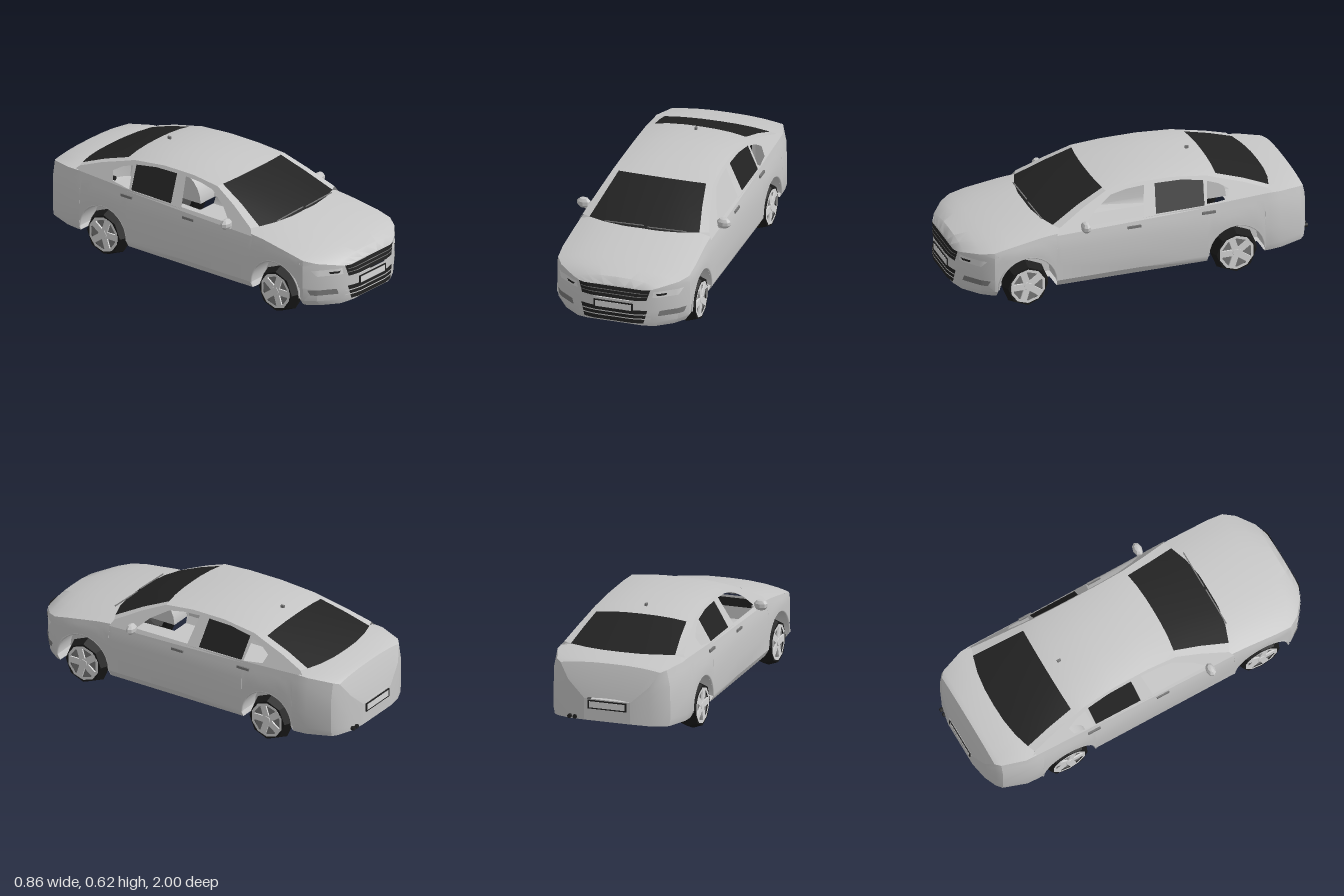
import * as THREE from 'three';
import { toCreasedNormals } from 'three/addons/utils/BufferGeometryUtils.js';

const paint = (name, color) => new THREE.MeshStandardMaterial({ name, color, side: THREE.DoubleSide });
const MAT = {
  body: paint('body grey', 0xc6c6c6),
  glass: paint('dark glass', 0x222222),
  tyre: paint('tyre black', 0x1a1a1a),
  trim: paint('trim grey', 0x777777),
  bright: paint('light grey', 0xd6d6d6),
};

// Body stations: z, half width, bottom, shoulder height, centreline height
const STATIONS = [
  [0.994, 0.11, 0.11, 0.24, 0.25], [0.98, 0.17, 0.1, 0.3, 0.315], [0.95, 0.24, 0.09, 0.32, 0.35],
  [0.88, 0.33, 0.09, 0.338, 0.375], [0.82, 0.372, 0.09, 0.352, 0.39], [0.73, 0.38, 0.09, 0.372, 0.41],
  [0.54, 0.38, 0.1, 0.402, 0.44], [0.45, 0.38, 0.1, 0.41, 0.448], [0, 0.38, 0.1, 0.42, 0.45],
  [-0.4, 0.38, 0.1, 0.43, 0.45], [-0.73, 0.38, 0.11, 0.445, 0.465], [-0.79, 0.377, 0.115, 0.443, 0.46],
  [-0.92, 0.33, 0.12, 0.43, 0.448], [-0.945, 0.3, 0.122, 0.42, 0.44], [-0.975, 0.23, 0.125, 0.34, 0.355],
  [-0.994, 0.13, 0.13, 0.25, 0.26],
];
const AXLES = [{ z: 0.635, arch: 0.165 }, { z: -0.54, arch: 0.16 }];
const ARCH_Y = 0.135;

function station(z) {
  let i = 0;
  while (i < STATIONS.length - 2 && z < STATIONS[i + 1][0]) i++;
  const a = STATIONS[i], b = STATIONS[i + 1];
  const t = THREE.MathUtils.clamp((a[0] - z) / (a[0] - b[0]), 0, 1);
  const [, w, low, belt, top] = a.map((v, k) => v + (b[k] - v) * t);
  return { w, low, belt, top };
}

// Skin over rows of points
function skin(rows, crease = 0.5) {
  const n = rows[0].length, index = [];
  for (let r = 0; r < rows.length - 1; r++) for (let c = 0; c < n - 1; c++) {
    const a = r * n + c, b = a + n;
    index.push(a, b, a + 1, b, b + 1, a + 1);
  }
  const g = new THREE.BufferGeometry();
  g.setAttribute('position', new THREE.Float32BufferAttribute(rows.flat(2), 3));
  g.setIndex(index);
  return toCreasedNormals(g, crease);
}

export function createModel() {
  const car = new THREE.Group();
  car.name = 'car';
  const add = (name, geo, mat, pos = [0, 0, 0], parent = car) => {
    const m = new THREE.Mesh(geo, mat);
    m.name = name;
    m.position.set(...pos);
    parent.add(m);
    return m;
  };
  const box = (w, h, d) => new THREE.BoxGeometry(w, h, d);

  // Lower side panels with wheel arches cut into the bottom edge
  let columns = STATIONS.map(s => s[0]);
  for (const { z, arch } of AXLES) {
    columns = columns.filter(c => Math.abs(c - z) > arch + 0.002);
    columns.push(z + arch + 0.001, z - arch - 0.001);
    for (let k = 0; k <= 12; k++) columns.push(z + arch * Math.cos(k * Math.PI / 12));
  }
  columns.sort((a, b) => b - a);
  const sideX = (w, y) => w - Math.max(0, 0.13 - y) * 0.7 - Math.max(0, y - 0.33) * 0.2;
  const sidePoints = (z, s) => {
    const { w, low, belt } = station(z);
    let y0 = low;
    for (const a of AXLES) {
      const d = a.arch ** 2 - (z - a.z) ** 2;
      if (d >= -1e-9) y0 = ARCH_Y + Math.sqrt(Math.max(0, d));
    }
    return [0, 0.12, 0.4, 0.7, 0.88, 1].map(t => {
      const y = y0 + (belt - y0) * t;
      return [s * sideX(w, y), y, z];
    });
  };
  for (const s of [1, -1]) add('bodySide', skin(columns.map(z => sidePoints(z, s))), MAT.body);
  for (const [name, z] of [['noseFace', 0.994], ['tailFace', -0.994]])
    add(name, skin([sidePoints(z, 1), sidePoints(z, -1)]), MAT.body);

  // Bonnet and boot lid, crowned across the width
  const across = [-1, -0.86, -0.65, -0.35, 0, 0.35, 0.65, 0.86, 1];
  const deck = zs => skin(zs.map(z => {
    const { w, belt, top } = station(z);
    return across.map(u => [u * sideX(w, belt), top + (belt - top) * Math.abs(u) ** 2.6, z]);
  }));
  const stationZ = STATIONS.map(s => s[0]);
  add('bonnet', deck(stationZ.filter(z => z > 0.44)), MAT.body);
  add('bootLid', deck(stationZ.filter(z => z < -0.72)), MAT.body);

  // Floor, narrowed between the wheels
  const floorZ = [...stationZ, ...AXLES.flatMap(a => [1, -1].flatMap(k => [a.z + k * a.arch, a.z + k * (a.arch - 0.001)]))]
    .sort((a, b) => b - a);
  add('floor', skin(floorZ.map(z => {
    const { w, low } = station(z);
    const inside = AXLES.some(a => Math.abs(z - a.z) < a.arch - 0.0005);
    const x = inside ? 0.25 : sideX(w, low);
    return [[x, low, z], [-x, low, z]];
  })), MAT.body);

  // Cabin side frames with window openings; the frame leans inwards
  const leanX = y => 0.362 - (y - 0.42) * 0.52;
  const RAIL = [[0.45, 0.435], [0.3, 0.515], [0.165, 0.575], [0, 0.59], [-0.2, 0.59], [-0.4, 0.57],
    [-0.46, 0.552], [-0.6, 0.512], [-0.73, 0.465]];
  const path = (pts, Type) => new Type(pts.map(p => new THREE.Vector2(...p)));
  const frontWindow = [[0.31, 0.425], [0.24, 0.492], [0.14, 0.553], [0.05, 0.568], [-0.05, 0.573], [-0.02, 0.428]];
  const rearWindow = [[-0.092, 0.428], [-0.11, 0.573], [-0.25, 0.57], [-0.38, 0.552], [-0.365, 0.43]];
  const quarterWindow = [[-0.378, 0.43], [-0.4, 0.544], [-0.46, 0.525], [-0.515, 0.492], [-0.495, 0.445]];
  const lean = (shape, s, out = 0) => {
    const g = new THREE.ShapeGeometry(shape), p = g.attributes.position;
    for (let i = 0; i < p.count; i++) {
      const z = p.getX(i), y = p.getY(i);
      p.setXYZ(i, s * (leanX(y) + out), y, z);
    }
    g.computeVertexNormals();
    return g;
  };
  for (const s of [1, -1]) {
    const frame = path([[0.47, 0.4], ...RAIL, [-0.76, 0.435], [-0.4, 0.42], [0, 0.41]], THREE.Shape);
    frame.holes = [frontWindow, rearWindow, quarterWindow].map(w => path(w, THREE.Path));
    add('cabinSide', lean(frame, s), MAT.body);
    add('rearDoorWindow', lean(path(rearWindow, THREE.Shape), s, -0.002), MAT.glass);
  }

  // Windscreen, roof and rear window, each running from rail to centreline
  const CENTRE = [[0.53, 0.44], [0.36, 0.518], [0.19, 0.585], [0.02, 0.61], [-0.2, 0.612], [-0.38, 0.597],
    [-0.47, 0.578], [-0.63, 0.526], [-0.79, 0.46]];
  const canopy = (from, to, us) => skin(RAIL.slice(from, to + 1).map(([rz, ry], i) => {
    const [cz, cy] = CENTRE[from + i];
    return us.map(u => {
      const k = Math.abs(u) ** 2.5;
      return [u * leanX(ry), cy + (ry - cy) * k, cz + (rz - cz) * k];
    });
  }));
  const glassU = [-0.87, -0.6, -0.3, 0, 0.3, 0.6, 0.87];
  add('roof', canopy(2, 6, [-1, ...glassU, 1]), MAT.body);
  for (const [name, a, b] of [['windscreen', 0, 2], ['rearWindow', 6, 8]]) {
    add(name, canopy(a, b, glassU), MAT.glass);
    for (const s of [1, -1]) add(name + 'Pillar', canopy(a, b, [s * 0.87, s]), MAT.body);
  }
  add('antenna', box(0.012, 0.014, 0.02), MAT.trim, [0, 0.605, -0.39]);
  for (const x of [-0.1, 0.14]) {
    const wiper = add('wiper', box(0.22, 0.004, 0.006), MAT.trim, [x, 0.449, 0.515]);
    wiper.rotation.z = 0.03;
  }

  // Thin plates that follow the curve of the nose
  const NOSE = STATIONS.slice(0, 6);
  const noseZ = (x, y) => {
    const depth = (v, k) => {
      if (v <= NOSE[0][k]) return NOSE[0][0];
      const i = Math.max(1, NOSE.findIndex(s => s[k] >= v)), a = NOSE[i - 1], b = NOSE[i];
      return a[0] + (b[0] - a[0]) * (v - a[k]) / (b[k] - a[k]);
    };
    return Math.min(depth(Math.abs(x), 1), depth(y, 4));
  };
  const nosePatch = (name, [bl, br, y0], [tl, tr, y1], mat, out = 0.004) => {
    const rows = [0, 0.5, 1].map(v => Array.from({ length: 13 }, (_, i) => {
      const u = i / 12, y = y0 + (y1 - y0) * v;
      const x = (bl + (tl - bl) * v) * (1 - u) + (br + (tr - br) * v) * u;
      return [x, y, noseZ(x, y) + out];
    }));
    add(name, skin(rows), mat);
  };
  nosePatch('upperGrille', [-0.18, 0.18, 0.247], [-0.2, 0.2, 0.31], MAT.glass);
  for (const y of [0.267, 0.287]) nosePatch('grilleBar', [-0.185, 0.185, y], [-0.187, 0.187, y + 0.004], MAT.trim, 0.006);
  nosePatch('lowerGrille', [-0.165, 0.165, 0.115], [-0.185, 0.185, 0.19], MAT.glass);
  for (const y of [0.138, 0.162]) nosePatch('lowerGrilleBar', [-0.2, 0.2, y], [-0.2, 0.2, y + 0.006], MAT.body, 0.006);
  for (const s of [1, -1]) {
    nosePatch('headlight', [s * 0.21, s * 0.33, 0.265], [s * 0.215, s * 0.35, 0.3], MAT.bright);
    nosePatch('headlightLens', [s * 0.235, s * 0.275, 0.275], [s * 0.225, s * 0.28, 0.287], MAT.glass, 0.006);
    nosePatch('fogLampRecess', [s * 0.235, s * 0.35, 0.155], [s * 0.245, s * 0.36, 0.185], MAT.trim, 0.003);
  }

  // Number plates without lettering
  for (const [s, y] of [[1, 0.203], [-1, 0.22]]) {
    add('plateFrame', box(0.22, 0.048, 0.006), MAT.glass, [0, y, s * 0.996]);
    add('plate', box(0.2, 0.034, 0.002), MAT.bright, [0, y, s * 0.999]);
  }
  // Twin exhaust on one side
  for (const x of [0.185, 0.215]) {
    const pipe = add('exhaust', new THREE.CylinderGeometry(0.012, 0.012, 0.06, 8), MAT.glass, [x, 0.14, -0.965]);
    pipe.rotation.x = Math.PI / 2;
  }

  // Mirrors and door handles
  for (const s of [1, -1]) {
    const shell = new THREE.SphereGeometry(1, 8, 5);
    shell.scale(0.04, 0.031, 0.026);
    add('mirror', toCreasedNormals(shell, 0.5), MAT.body, [s * 0.392, 0.434, 0.315]);
    add('mirrorStalk', box(0.045, 0.016, 0.02), MAT.body, [s * 0.362, 0.415, 0.32]);
    for (const [z, y] of [[0.035, 0.38], [-0.385, 0.393]])
      add('doorHandle', box(0.012, 0.014, 0.075), MAT.trim, [s * 0.37, y, z]);
  }

  // Wheels and wheel wells
  const tyreProfile = [[0.088, -0.054], [0.112, -0.054], [0.132, 0], [0.112, 0.054], [0.095, 0.054], [0.088, 0.03]];
  const tyre = toCreasedNormals(new THREE.LatheGeometry(tyreProfile.map(p => new THREE.Vector2(...p)), 8), 0.3);
  for (const { z, arch } of AXLES) for (const s of [1, -1]) {
    const wheel = new THREE.Group();
    wheel.name = 'wheel';
    wheel.position.set(s * 0.32, 0.129, z);
    wheel.rotation.z = -s * Math.PI / 2;
    car.add(wheel);
    add('tyre', tyre, MAT.tyre, [0, 0, 0], wheel);
    add('rim', new THREE.CylinderGeometry(0.096, 0.09, 0.02, 10), MAT.trim, [0, 0.036, 0], wheel);
    add('rimRing', new THREE.RingGeometry(0.084, 0.1, 10), MAT.bright, [0, 0.055, 0], wheel).rotation.x = -Math.PI / 2;
    add('hub', new THREE.CylinderGeometry(0.024, 0.03, 0.02, 5), MAT.bright, [0, 0.048, 0], wheel);
    for (let k = 0; k < 5; k++) {
      const spoke = new THREE.Group();
      spoke.name = 'spoke';
      spoke.rotation.y = k * Math.PI * 0.4;
      wheel.add(spoke);
      add('spokeBar', box(0.036, 0.014, 0.09), MAT.bright, [0, 0.048, 0.05], spoke);
    }
    // Half-round liner, its inner wall and the arch lip
    const liner = add('wheelWell', new THREE.CylinderGeometry(arch, arch, 0.12, 12, 1, true, 0, Math.PI), MAT.body, [s * 0.31, ARCH_Y, z]);
    liner.rotation.z = Math.PI / 2;
    const wall = add('wheelWellWall', new THREE.CircleGeometry(arch, 12, 0, Math.PI), MAT.body, [s * 0.25, ARCH_Y, z]);
    wall.rotation.y = Math.PI / 2;
    const lip = add('archLip', new THREE.TorusGeometry(arch, 0.006, 4, 14, Math.PI), MAT.body, [s * 0.376, ARCH_Y, z]);
    lip.rotation.y = Math.PI / 2;
  }
  return car;
}
